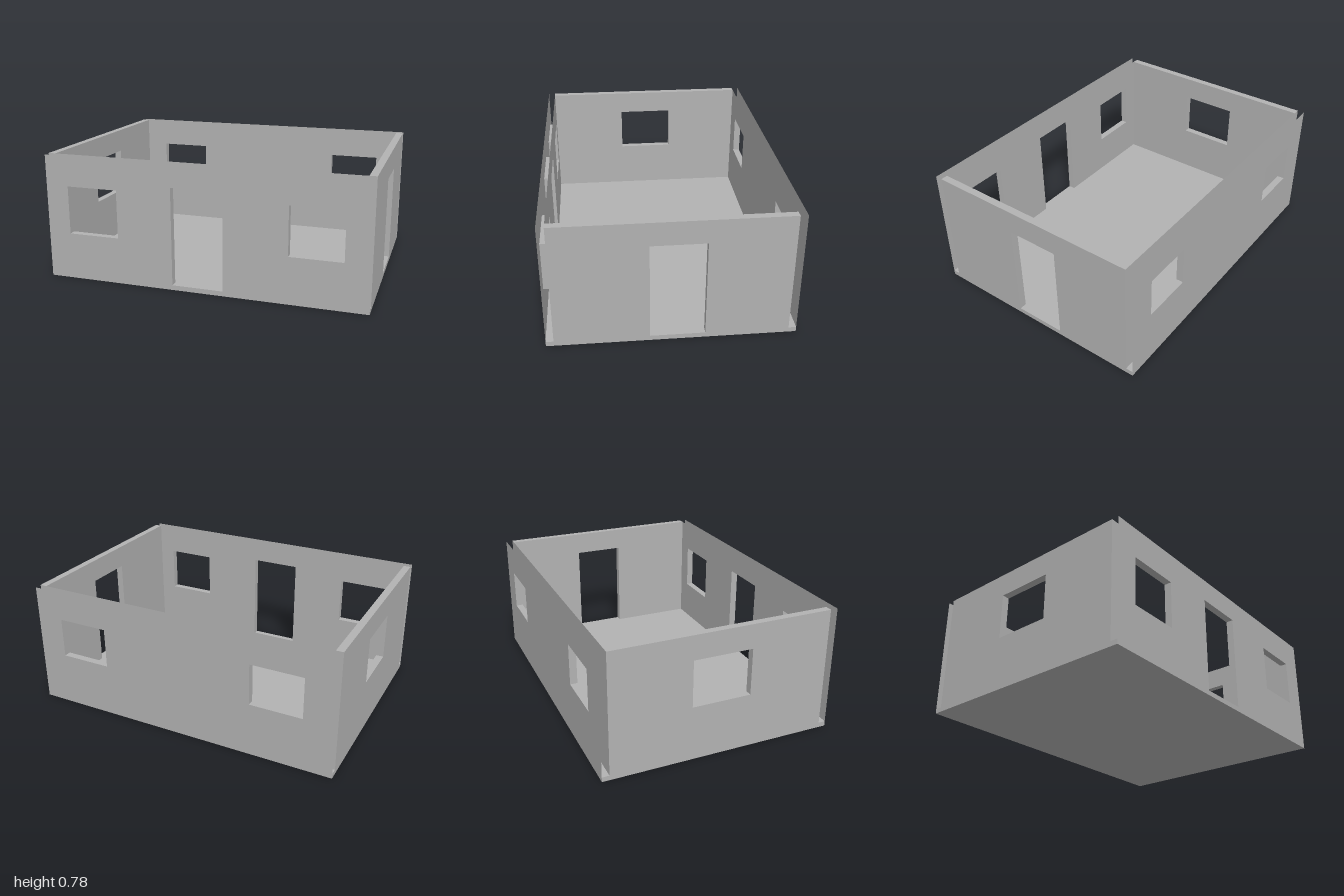
import * as THREE from 'three';

const FLOOR = 0.03, TOP = 0.78, THICK = 0.045;

// Rectangle as a point list
const rect = (x0, x1, y0, y1) => [[x0, y0], [x1, y0], [x1, y1], [x0, y1]].map(p => new THREE.Vector2(...p));

// Drop every triangle whose three corners all pass the test
function removeFaces(geometry, test) {
  const p = geometry.attributes.position, kept = [];
  for (let i = 0; i < p.count; i += 3) {
    if ([i, i + 1, i + 2].every(k => test(p.getX(k), p.getY(k)))) continue;
    for (let k = i; k < i + 3; k++) kept.push(p.getX(k), p.getY(k), p.getZ(k));
  }
  const result = new THREE.BufferGeometry();
  result.setAttribute('position', new THREE.Float32BufferAttribute(kept, 3));
  result.computeVertexNormals();
  return result;
}

// Wall in the xy plane with an optional doorway and window holes
function wallGeometry(half, door, windows, openEnds) {
  const outline = [new THREE.Vector2(-half, FLOOR)];
  if (door) {
    const [x0, x1, top] = door;
    outline.push(...[[x0, FLOOR], [x0, top], [x1, top], [x1, FLOOR]].map(p => new THREE.Vector2(...p)));
  }
  outline.push(new THREE.Vector2(half, FLOOR), new THREE.Vector2(half, TOP), new THREE.Vector2(-half, TOP));
  const shape = new THREE.Shape(outline);
  windows.forEach(w => shape.holes.push(new THREE.Path(rect(...w))));
  const geometry = new THREE.ExtrudeGeometry(shape, { depth: THICK, bevelEnabled: false });
  return removeFaces(geometry, (x, y) =>
    y < FLOOR + 0.001 || (openEnds && Math.abs(x) > half - 0.001 && Math.abs(x) < half + 0.001));
}

export function createModel() {
  const group = new THREE.Group();
  const plaster = new THREE.MeshStandardMaterial({ color: 0xb2b2b2, side: THREE.DoubleSide });
  plaster.name = 'grey plaster';

  const add = (name, geometry, x, y, z, turn = 0) => {
    const mesh = new THREE.Mesh(geometry, plaster);
    mesh.name = name;
    mesh.position.set(x, y, z);
    mesh.rotation.y = turn;
    group.add(mesh);
  };

  // Floor slab
  add('floor', new THREE.BoxGeometry(2, FLOOR, 1.45), 0, FLOOR / 2, 0);

  // Long walls, hollow and open at their ends
  add('frontWall', wallGeometry(1, [-0.18, 0.14, 0.635],
    [[-0.855, -0.53, 0.29, 0.59], [0.53, 0.85, 0.29, 0.59]], true), 0, 0, 0.68);
  add('backWall', wallGeometry(1, null,
    [[-0.81, -0.48, 0.34, 0.6], [0.5, 0.825, 0.34, 0.593]], true), 0, 0, -0.725);

  // Short walls between them; their local x runs along -z
  add('leftWall', wallGeometry(0.68, [-0.13, 0.19, 0.635], [], false), 1 - THICK, 0, 0, Math.PI / 2);
  add('rightWall', wallGeometry(0.68, null, [[-0.18, 0.185, 0.34, 0.63]], false), -1, 0, 0, Math.PI / 2);

  return group;
}
